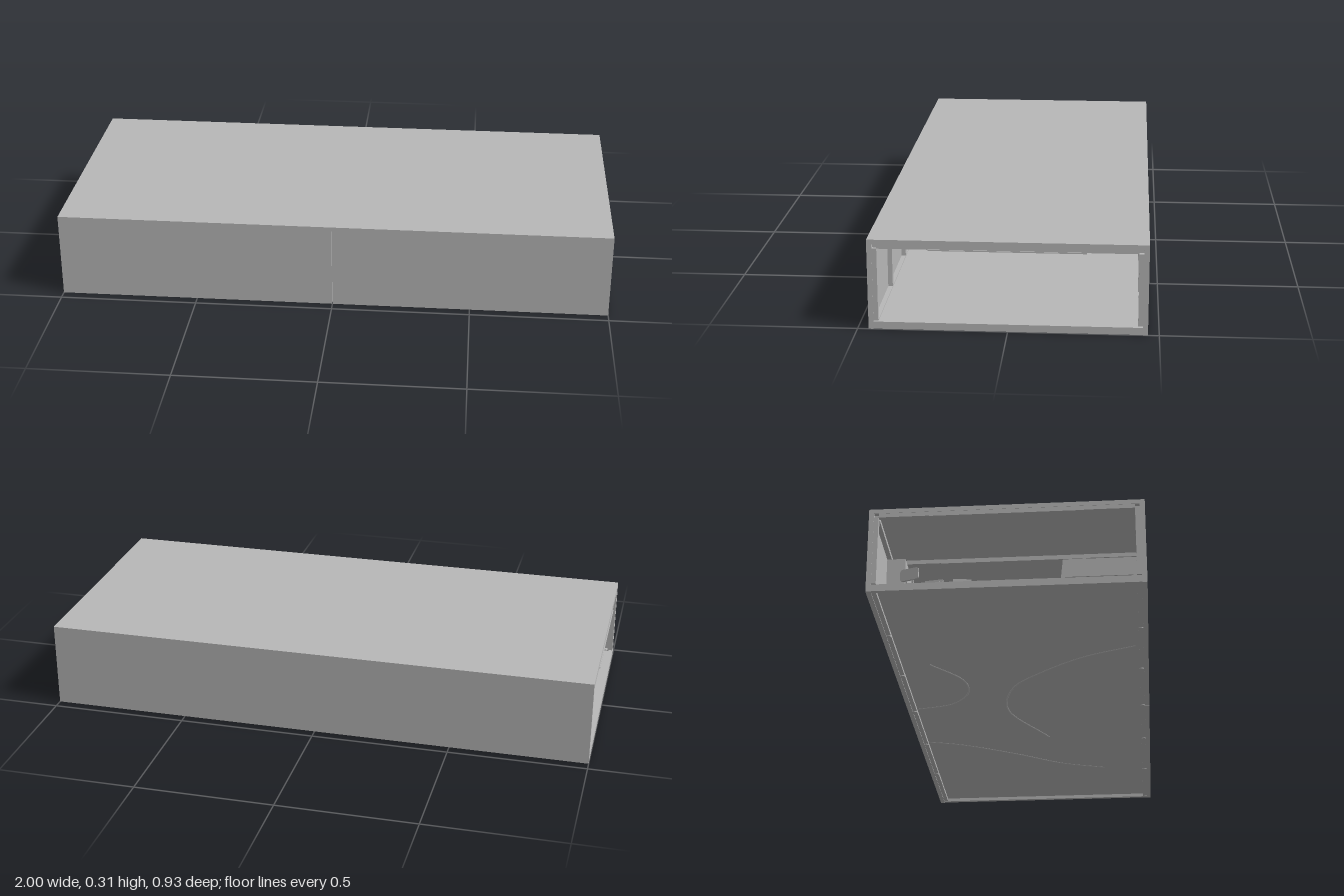
import * as THREE from 'three';

const grey = new THREE.MeshStandardMaterial({ color: 0xb8b8b8 });
grey.name = 'plain grey';

function mesh(parent, name, geometry, x = 0, y = 0, z = 0) {
  const m = new THREE.Mesh(geometry, grey);
  m.name = name;
  m.position.set(x, y, z);
  parent.add(m);
  return m;
}

// Box given by its lower and upper limits on each axis
function box(parent, name, [x0, x1], [y0, y1], [z0, z1]) {
  return mesh(parent, name, new THREE.BoxGeometry(x1 - x0, y1 - y0, z1 - z0),
    (x0 + x1) / 2, (y0 + y1) / 2, (z0 + z1) / 2);
}

function group(parent, name, x = 0, y = 0, z = 0) {
  const g = new THREE.Group();
  g.name = name;
  g.position.set(x, y, z);
  parent.add(g);
  return g;
}

const H = 0.312, W = 0.463, FLOOR = 0.026;

function buildShell(root) {
  const shell = group(root, 'shell');
  box(shell, 'roof', [-1, 1], [0.296, H], [-W, W]);
  box(shell, 'backWall', [-1, 1], [0, 0.296], [-W, -0.446]);
  // Front wall in two panels with a narrow joint
  for (const s of [-1, 1]) {
    const a = s * 0.002;
    box(shell, 'frontWallPanel', [Math.min(a, s), Math.max(a, s)], [0, 0.296], [0.446, W]);
  }
  box(shell, 'floorPlate', [-0.99, 0.99], [0.014, FLOOR], [-0.446, 0.446]);
  for (const s of [-1, 1]) {
    const zs = [s * 0.446, s * 0.43].sort((p, q) => p - q);
    const xs = [s * 0.985, s].sort((p, q) => p - q);
    box(shell, 'sideRail', [-0.985, 0.985], [0.003, 0.03], zs);
    box(shell, 'topRail', [-0.985, 0.985], [0.281, 0.296], zs);
    box(shell, 'endSill', xs, [0.001, FLOOR], [-0.446, 0.446]);
  }
  // Portal frames: wall posts, cross beam and bolted feet
  for (let i = -3; i <= 3; i++) {
    const x = i * 0.33;
    box(shell, 'ceilingBeam', [x - 0.009, x + 0.009], [0.281, 0.296], [-0.43, 0.43]);
    box(shell, 'beamFlange', [x - 0.012, x + 0.012], [0.278, 0.282], [-0.26, 0.26]);
    for (const s of [-1, 1]) {
      const zs = [s * 0.446, s * 0.43].sort((p, q) => p - q);
      box(shell, 'wallPost', [x - 0.009, x + 0.009], [0.03, 0.281], zs);
      if (Math.abs(i) < 3) {
        mesh(shell, 'postFoot', new THREE.CylinderGeometry(0.009, 0.009, 0.004, 12), x, 0.002, s * 0.438);
      }
    }
  }
}

// Cables running just under the floor plate
function buildCables(root) {
  const paths = [
    [[0.66, 0.27], [0.6, 0.1], [0.48, -0.09], [0.37, -0.3], [0.33, -0.43]],
    [[0.31, 0.06], [0.03, -0.08], [-0.18, -0.04], [-0.3, 0.07], [-0.42, 0.23], [-0.5, 0.42]],
    [[0, -0.43], [-0.04, -0.29], [-0.13, -0.22], [-0.25, -0.22], [-0.4, -0.33]],
  ];
  for (const p of paths) {
    const curve = new THREE.CatmullRomCurve3(p.map(([x, z]) => new THREE.Vector3(x, 0.0145, z)));
    mesh(root, 'cable', new THREE.TubeGeometry(curve, 40, 0.0035, 6));
  }
}

// Large counter, open underneath at its rear end
function buildCounter(root) {
  const g = group(root, 'counter');
  const x0 = -0.84, x1 = -0.46;
  const s = new THREE.Shape();
  [[0.186, 0.183], [0.18, 0.183], [0.168, 0.065], [0.175, FLOOR], [0.186, FLOOR]]
    .forEach(([z, y], i) => (i ? s.lineTo(-z, y) : s.moveTo(-z, y)));
  const side = mesh(g, 'bentSidePanel', new THREE.ExtrudeGeometry(s, { depth: x1 - x0, bevelEnabled: false }), x0);
  side.rotation.y = Math.PI / 2;
  box(g, 'counterTop', [x0, x1], [0.173, 0.183], [0.184, 0.43]);
  box(g, 'counterEnd', [x1 - 0.012, x1], [FLOOR, 0.18], [0.184, 0.43]);
  box(g, 'rearBand', [x0, x0 + 0.012], [0.115, 0.178], [0.184, 0.43]);
  box(g, 'rearLeg', [x0, x0 + 0.012], [FLOOR, 0.118], [0.418, 0.43]);
}

// Crates with an open-flapped carton on top
function buildCrates(root) {
  const g = group(root, 'crates');
  box(g, 'crate', [-0.62, -0.42], [FLOOR, 0.145], [0.025, 0.17]);
  box(g, 'lowCarton', [-0.61, -0.56], [0.145, 0.167], [0.125, 0.18]);
  box(g, 'carton', [-0.54, -0.45], [0.145, 0.2], [0.038, 0.14]);
  const left = box(g, 'cartonFlap', [-0.54, -0.45], [0.2, 0.203], [0.09, 0.138]);
  left.rotation.x = 0.1;
  const right = box(g, 'cartonFlap', [-0.54, -0.45], [0.2, 0.203], [0.04, 0.088]);
  right.rotation.x = -0.1;
}

function buildMonitor(parent, x, z, turn) {
  const g = group(parent, 'monitor', x, 0.092, z);
  g.rotation.y = turn;
  box(g, 'screen', [-0.004, 0.004], [0.012, 0.07], [-0.032, 0.032]);
  box(g, 'screenBack', [-0.014, -0.004], [0.02, 0.06], [-0.022, 0.022]);
  box(g, 'stand', [-0.012, -0.006], [0, 0.025], [-0.006, 0.006]);
  box(g, 'standBase', [-0.022, 0.01], [0, 0.004], [-0.02, 0.02]);
}

function buildDesk(root) {
  const g = group(root, 'desk');
  box(g, 'deskTop', [-0.81, -0.69], [0.083, 0.092], [-0.365, -0.122]);
  for (const x of [-0.8, -0.7]) {
    for (const z of [-0.13, -0.245, -0.357]) {
      box(g, 'deskLeg', [x - 0.005, x + 0.005], [FLOOR, 0.083], [z - 0.005, z + 0.005]);
    }
  }
  box(g, 'deskDrawers', [-0.8, -0.71], [0.03, 0.07], [-0.19, -0.15]);
  buildMonitor(g, -0.76, -0.172, 0.1);
  buildMonitor(g, -0.76, -0.27, -0.15);
  for (const z of [-0.172, -0.27]) {
    box(g, 'keyboard', [-0.722, -0.7], [0.092, 0.096], [z - 0.025, z + 0.025]);
  }
  box(g, 'deskBox', [-0.78, -0.72], [0.092, 0.137], [-0.365, -0.325]);
  // Handset and its stalk beside the desk
  const curve = new THREE.CatmullRomCurve3([[FLOOR, -0.122], [0.05, -0.118], [0.078, -0.118], [0.092, -0.102]]
    .map(([y, z]) => new THREE.Vector3(-0.73, y, z)));
  mesh(g, 'deskHose', new THREE.TubeGeometry(curve, 16, 0.005, 8));
}

// Swivel chair; its back rest is on local +x
function buildChair(root, x, z, turn) {
  const g = group(root, 'chair', x, 0, z);
  g.rotation.y = turn;
  const r = 0.01, w = 0.034, h = 0.022;
  const s = new THREE.Shape();
  s.absarc(w - r, h - r, r, 0, Math.PI / 2);
  s.absarc(-w + r, h - r, r, Math.PI / 2, Math.PI);
  s.absarc(-w + r, -h + r, r, Math.PI, Math.PI * 1.5);
  s.absarc(w - r, -h + r, r, Math.PI * 1.5, Math.PI * 2);
  const back = mesh(g, 'backRest', new THREE.ExtrudeGeometry(s, { depth: 0.007, bevelEnabled: false }), 0.03, 0.117, 0);
  back.rotation.y = Math.PI / 2;
  const seat = mesh(g, 'seat', new THREE.CylinderGeometry(0.034, 0.032, 0.012, 20), 0, 0.067, 0);
  seat.scale.x = 1.05;
  for (const k of [-0.012, 0.012]) box(g, 'backStrut', [0.03, 0.034], [0.062, 0.1], [k - 0.003, k + 0.003]);
  mesh(g, 'gasColumn', new THREE.CylinderGeometry(0.005, 0.005, 0.028, 10), 0, 0.049, 0);
  for (let i = 0; i < 5; i++) {
    const arm = group(g, 'footArm');
    arm.rotation.y = i * Math.PI * 0.4;
    box(arm, 'footBar', [0, 0.034], [0.034, 0.039], [-0.003, 0.003]);
    const caster = mesh(arm, 'caster', new THREE.CylinderGeometry(0.006, 0.006, 0.006, 10), 0.034, 0.031, 0);
    caster.rotation.x = Math.PI / 2;
  }
}

export function createModel() {
  const root = new THREE.Group();
  root.name = 'officeUnit';
  buildShell(root);
  buildCables(root);
  buildCounter(root);
  buildCrates(root);
  buildDesk(root);
  buildChair(root, -0.63, -0.226, 0);
  buildChair(root, -0.86, -0.325, Math.PI * 0.9);
  box(root, 'tallCabinet', [-0.8, -0.6], [FLOOR, 0.23], [-0.43, -0.366]);
  return root;
}
